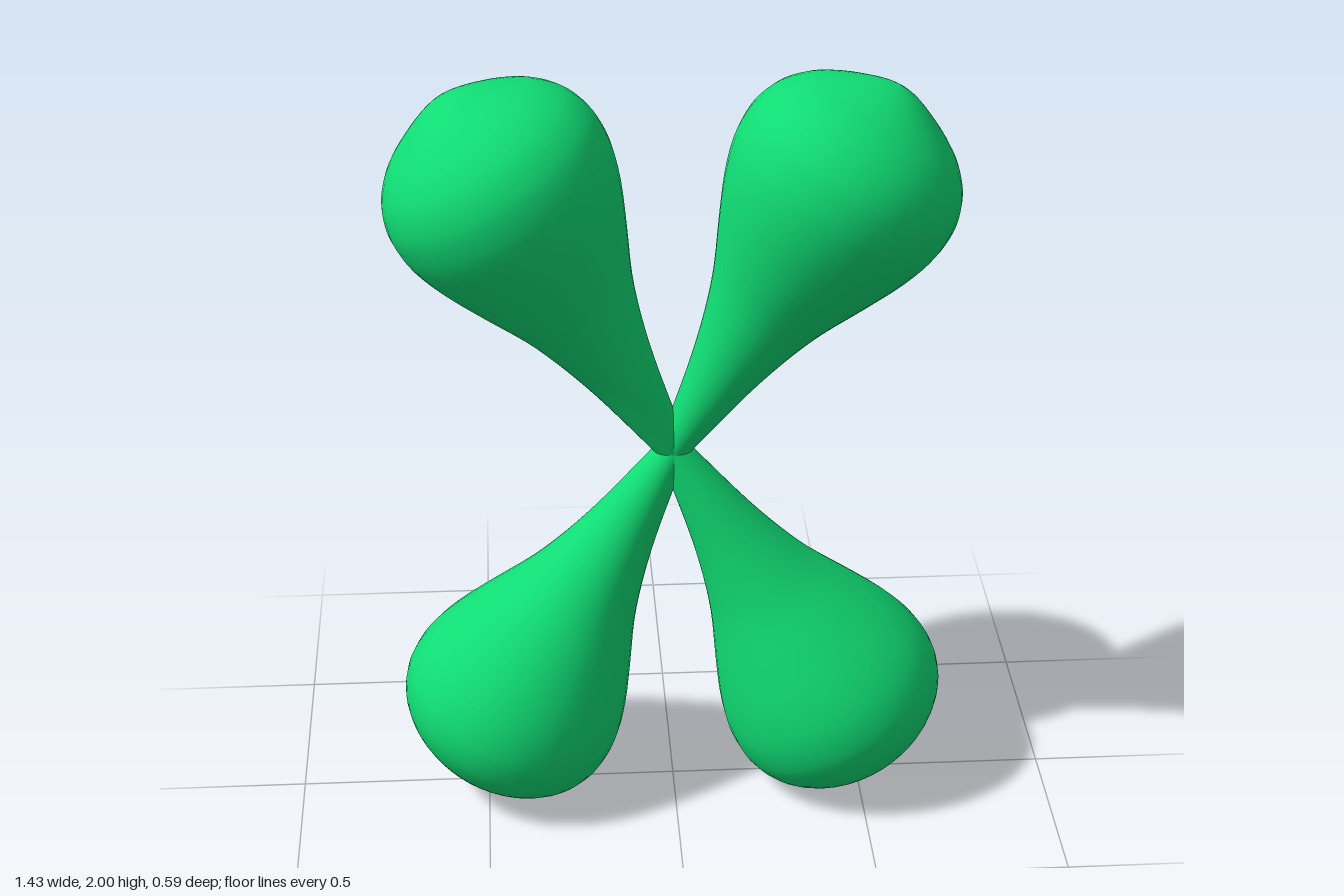
import * as THREE from 'three';

// Lobe profile: radius, distance along the lobe from the hub
const PROFILE = [
  [0.04, 0], [0.063, 0.12], [0.09, 0.25], [0.122, 0.37], [0.16, 0.48],
  [0.215, 0.6], [0.263, 0.71], [0.29, 0.8], [0.295, 0.87], [0.287, 0.92],
  [0.264, 0.972], [0.222, 1.02], [0.171, 1.056], [0.106, 1.09], [0.05, 1.113], [0, 1.124],
];
const TILT = Math.PI / 6; // lean of each lobe away from vertical

export function createModel() {
  const model = new THREE.Group();
  model.name = 'fourLobes';
  const material = new THREE.MeshStandardMaterial({ color: 0x10dc74, side: THREE.DoubleSide });

  const curve = new THREE.SplineCurve(PROFILE.map(([r, t]) => new THREE.Vector2(r, t)));
  const points = curve.getPoints(45);
  points.forEach((p) => { p.x = Math.max(0, p.x); });
  const lobeGeometry = new THREE.LatheGeometry(points, 40);

  // Four teardrop lobes meeting at the hub, in an X
  const lobes = [
    ['upperLeftLobe', -TILT], ['upperRightLobe', TILT],
    ['lowerLeftLobe', Math.PI + TILT], ['lowerRightLobe', Math.PI - TILT],
  ];
  for (const [name, angle] of lobes) {
    const lobe = new THREE.Mesh(lobeGeometry, material);
    lobe.name = name;
    lobe.position.y = 1;
    lobe.rotation.z = angle;
    model.add(lobe);
  }
  return model;
}
